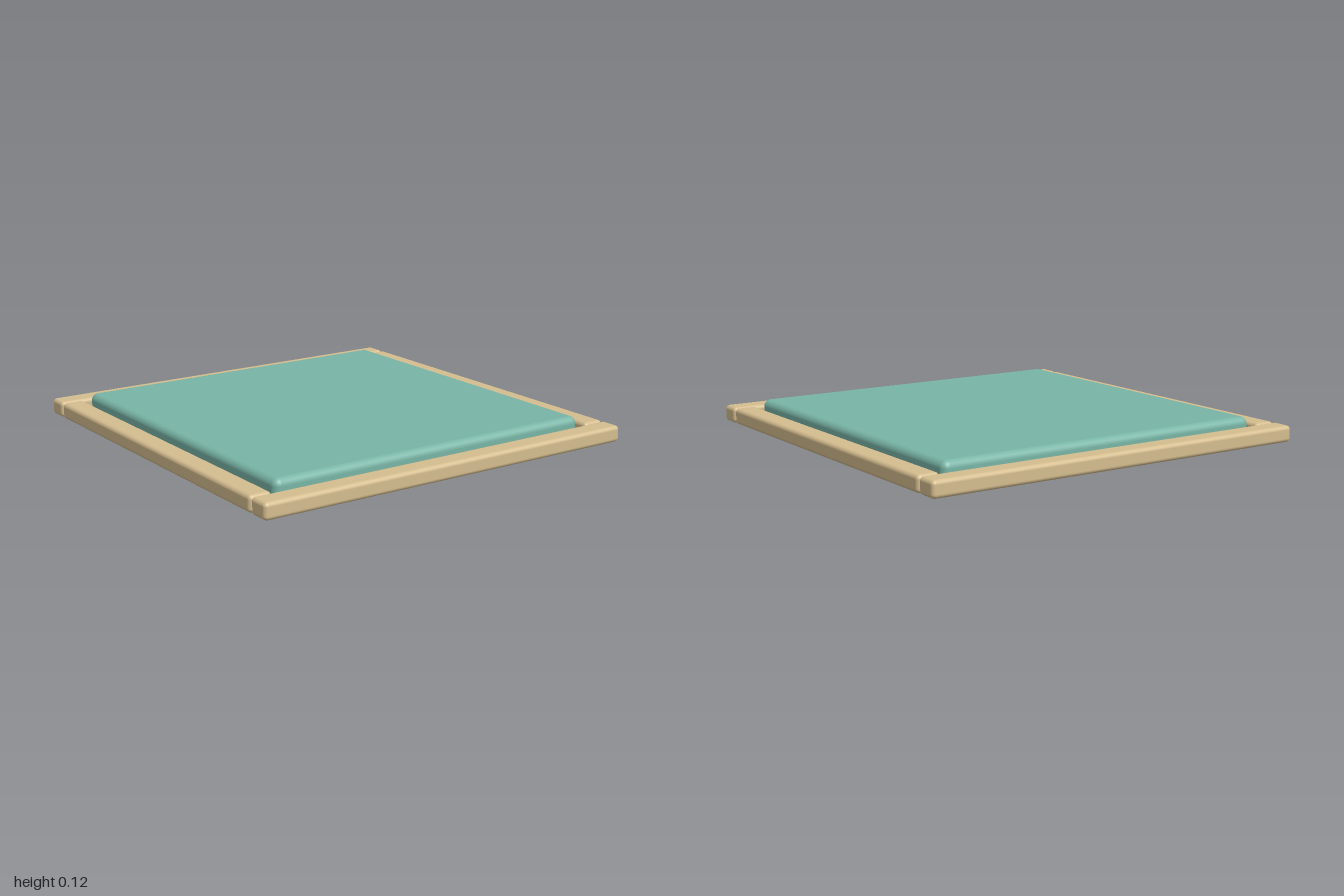
import * as THREE from 'three';
import { RoundedBoxGeometry } from 'three/addons/geometries/RoundedBoxGeometry.js';

export function createModel() {
  const group = new THREE.Group();
  const wood = new THREE.MeshStandardMaterial({ color: 0xd4bc8e });
  const fabric = new THREE.MeshStandardMaterial({ color: 0x78b5a6 });

  // Soft-edged slab whose underside sits at height y
  function slab(name, material, [w, h, d], radius, x, y, z) {
    const mesh = new THREE.Mesh(new RoundedBoxGeometry(w, h, d, 4, radius), material);
    mesh.name = name;
    mesh.position.set(x, y + h / 2, z);
    group.add(mesh);
  }

  const barWidth = 0.112;
  const barHeight = 0.08;
  const offset = 1 - barWidth / 2;

  // Full-length bars at front and back, shorter bars between them
  for (const s of [1, -1]) {
    slab(s > 0 ? 'frontBar' : 'backBar', wood, [2, barHeight, barWidth], 0.02, 0, 0, s * offset);
    slab(s > 0 ? 'leftBar' : 'rightBar', wood, [barWidth, barHeight, 1.764], 0.02, s * offset, 0, 0);
  }

  // Padded mat inside the frame, standing slightly proud of it
  slab('cushion', fabric, [1.72, 0.112, 1.72], 0.035, 0, 0.004, 0);

  return group;
}
